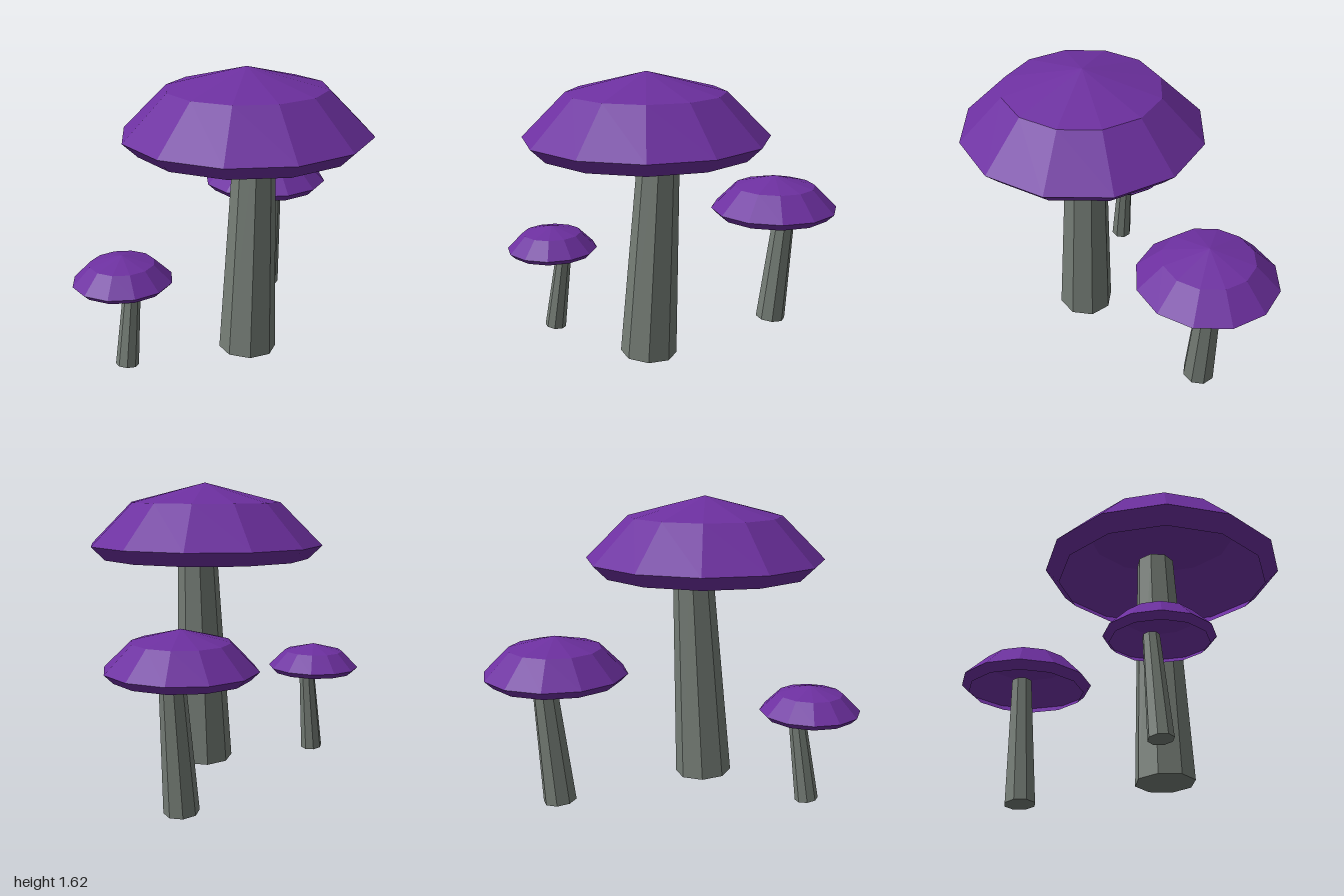
import * as THREE from 'three';

// Cap profile at full size: an open shell with curled-in rim, brim, shoulder and peak
const CAP_PROFILE = [
  [0.592, 0], [0.672, 0.077], [0.432, 0.317], [0, 0.427],
].map(([r, y]) => new THREE.Vector2(r, y));

// Each mushroom: position, cap size and height, stem radii at base and cap, sideways lean
const MUSHROOMS = [
  { name: 'largeMushroom', x: -0.155, z: 0.095, size: 1, capY: 1.198, base: 0.161, neck: 0.113, lean: 0.055 },
  { name: 'mediumMushroom', x: 0.615, z: -0.385, size: 0.572, capY: 0.688, base: 0.091, neck: 0.065, lean: 0.098 },
  { name: 'smallMushroom', x: -0.732, z: -0.29, size: 0.4, capY: 0.486, base: 0.063, neck: 0.045, lean: 0.14 },
];

function makeMushroom({ name, x, z, size, capY, base, neck, lean }, capMaterial, stemMaterial) {
  const mushroom = new THREE.Group();
  mushroom.name = name;
  mushroom.position.set(x, 0, z);

  // Faceted twelve-sided hollow cap, kept level
  const cap = new THREE.Mesh(new THREE.LatheGeometry(CAP_PROFILE, 12), capMaterial);
  cap.name = 'cap';
  cap.scale.setScalar(size);
  cap.position.y = capY;

  // Tapered octagonal stem, leaning and ending inside the hollow of the cap
  const length = capY + 0.155 * size;
  const topRadius = base + (neck - base) * (length / capY);
  const stemGeometry = new THREE.CylinderGeometry(topRadius, base, length, 8);
  stemGeometry.translate(0, length / 2, 0);
  const stem = new THREE.Mesh(stemGeometry, stemMaterial);
  stem.name = 'stem';
  stem.rotation.z = -lean;
  stem.position.y = base * Math.sin(lean);

  mushroom.add(cap, stem);
  return mushroom;
}

export function createModel() {
  const capMaterial = new THREE.MeshStandardMaterial({
    color: 0x6d30a0, flatShading: true, side: THREE.DoubleSide,
  });
  capMaterial.name = 'purple cap';
  const stemMaterial = new THREE.MeshStandardMaterial({ color: 0x747c75, flatShading: true });
  stemMaterial.name = 'grey stem';

  const model = new THREE.Group();
  model.name = 'mushrooms';
  for (const spec of MUSHROOMS) model.add(makeMushroom(spec, capMaterial, stemMaterial));
  return model;
}
